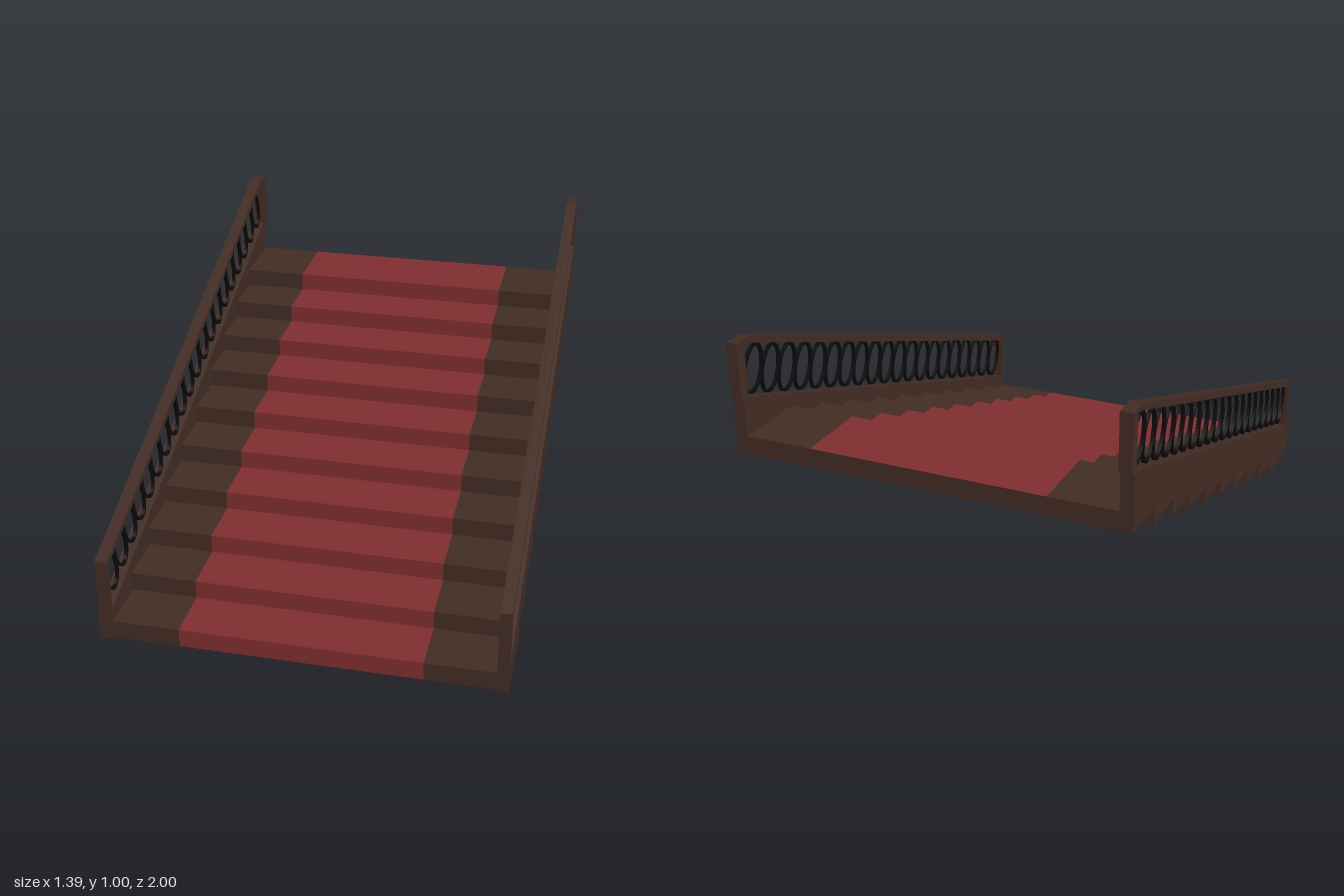
import * as THREE from 'three';

const STEPS = 10, RISE = 0.067, RUN = 0.19, TREAD = 0.27, FRONT = 0.99;
const RINGS = 20;

export function createModel() {
  const wood = new THREE.MeshStandardMaterial({ color: 0x412c23 });
  wood.name = 'dark wood';
  const carpet = new THREE.MeshStandardMaterial({ color: 0x7f2d2f });
  carpet.name = 'red carpet';
  const iron = new THREE.MeshStandardMaterial({ color: 0x0c0a0a });
  iron.name = 'black iron';

  const model = new THREE.Group();
  model.name = 'staircase';

  function add(parent, name, geometry, material) {
    const mesh = new THREE.Mesh(geometry, material);
    mesh.name = name;
    parent.add(mesh);
    return mesh;
  }

  // Side profile given as [z, y] points, extruded between two x positions
  function profile(points, x0, x1) {
    const shape = new THREE.Shape(points.map(([z, y]) => new THREE.Vector2(-z, y)));
    const geometry = new THREE.ExtrudeGeometry(shape, { depth: x1 - x0, bevelEnabled: false });
    return geometry.rotateY(Math.PI / 2).translate(x0, 0, 0);
  }

  // Steps: wooden ends and a middle whose tread and riser are carpeted
  const carpeted = [wood, wood, carpet, wood, carpet, wood];
  const spans = [
    ['stepEndRight', -0.655, -0.42, wood],
    ['stepCarpet', -0.42, 0.415, carpeted],
    ['stepEndLeft', 0.415, 0.655, wood],
  ];
  for (let i = 0; i < STEPS; i++) {
    const step = new THREE.Group();
    step.name = 'step' + (i + 1);
    for (const [name, x0, x1, material] of spans) {
      const box = add(step, name, new THREE.BoxGeometry(x1 - x0, RISE, TREAD), material);
      box.position.set((x0 + x1) / 2, RISE * (i + 0.5), FRONT - RUN * i - TREAD / 2);
    }
    model.add(step);
  }

  // Stringer outline: sloping top, stepped underside
  const stringer = [[1, 0], [1, 0.105], [-0.96, 0.8], [-0.99, 0.8]];
  for (let i = STEPS - 1; i >= 0; i--) {
    const back = FRONT - TREAD - RUN * i;
    stringer.push([back, RISE * i + (i === STEPS - 1 ? 0 : RISE)], [back, RISE * i]);
  }
  stringer.splice(4, 1); // the top step's back is already one straight edge

  // Handrail and both posts in one frame
  const frame = [
    [1, 0.1], [1, 0.31], [-0.92, 1.0], [-1, 1.0], [-1, 0.8], [-0.96, 0.8],
    [-0.96, 0.985], [-0.93, 0.98], [0.985, 0.29], [0.985, 0.1],
  ];

  // Elliptical ring leaning square to the slope
  const ellipse = new THREE.Shape().absellipse(0, 0, 0.052, 0.086, 0, Math.PI * 2);
  ellipse.holes.push(new THREE.Path().absellipse(0, 0, 0.0435, 0.0775, 0, Math.PI * 2));
  const ring = new THREE.ExtrudeGeometry(ellipse, { depth: 0.012, bevelEnabled: false, curveSegments: 32 });
  ring.translate(0, 0, -0.006).rotateZ(Math.atan(0.354)).rotateY(Math.PI / 2);

  const sides = [
    ['rightBalustrade', -0.7, -0.655, -0.695, -0.652],
    ['leftBalustrade', 0.655, 0.695, 0.655, 0.695],
  ];
  for (const [name, s0, s1, r0, r1] of sides) {
    const side = new THREE.Group();
    side.name = name;
    add(side, 'stringer', profile(stringer, s0, s1), wood);
    add(side, 'handrailFrame', profile(frame, r0, r1), wood);
    for (let i = 0; i < RINGS; i++) {
      const t = i / (RINGS - 1);
      const mesh = add(side, 'ring' + (i + 1), ring, iron);
      mesh.position.set((r0 + r1) / 2, 0.228 + 0.646 * t, 0.927 - 1.824 * t);
    }
    model.add(side);
  }
  return model;
}
